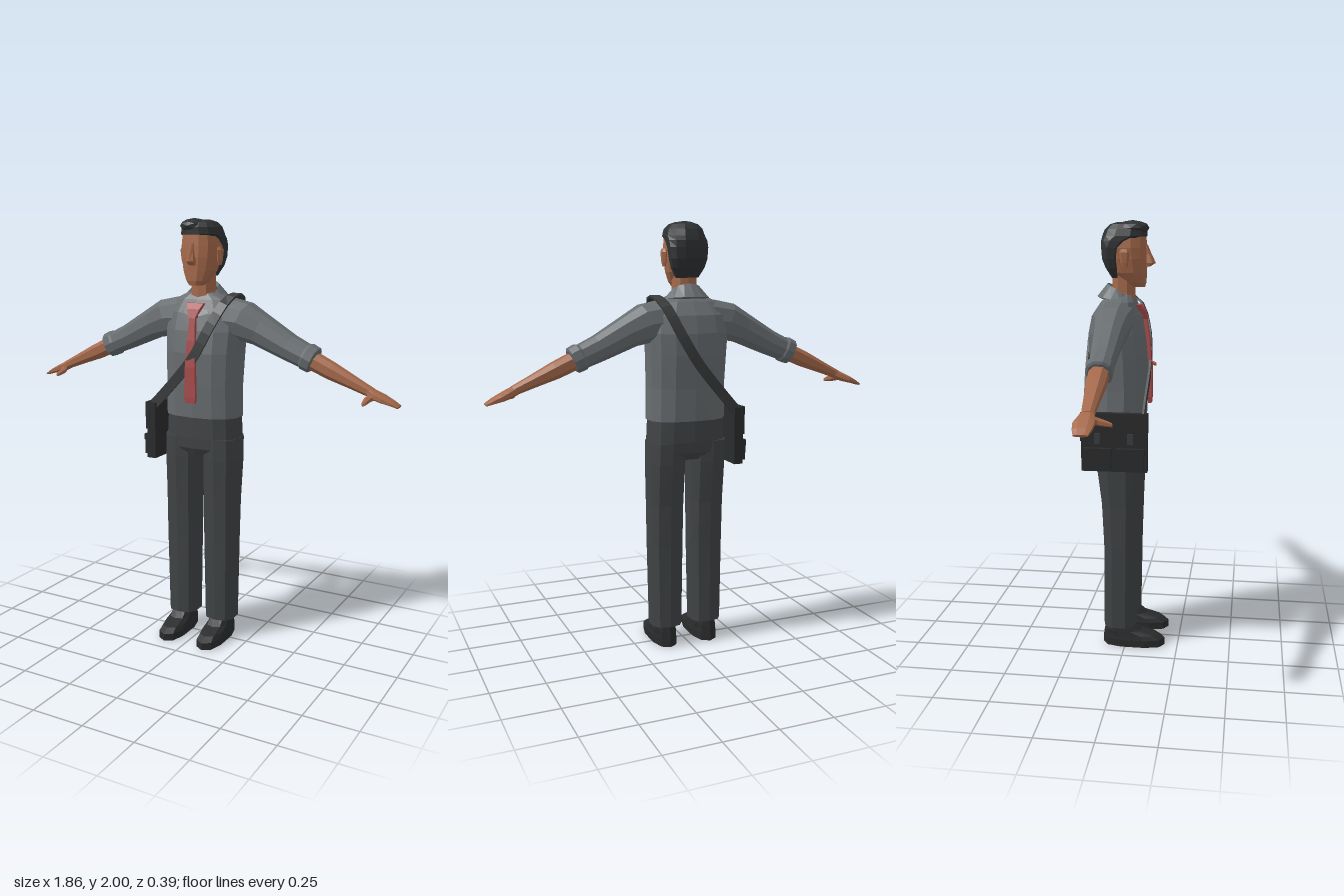
import * as THREE from 'three';

const V = (x, y, z) => new THREE.Vector3(x, y, z);
const mat = (color) => new THREE.MeshStandardMaterial({ color, flatShading: true, roughness: 0.9 });

// Rounded cross-section spanned by the half-axes u and v; e < 1 makes it boxier
function ring(c, u, v, n = 12, e = 0.8) {
  const soft = (t) => Math.sign(t) * Math.abs(t) ** e;
  return Array.from({ length: n }, (_, i) => {
    const a = ((i + 0.5) / n) * Math.PI * 2;
    return c.clone().addScaledVector(u, soft(Math.cos(a))).addScaledVector(v, soft(Math.sin(a)));
  });
}

// Horizontal section from its half width and its front and back depth
const level = (x, y, rx, zf, zb, n, e) =>
  ring(V(x, y, (zf + zb) / 2), V(rx, 0, 0), V(0, 0, (zf - zb) / 2), n, e);

// Closed faceted skin through the sections, turned so its faces look outwards
function loft(rings) {
  const tris = [], n = rings[0].length;
  for (let r = 0; r + 1 < rings.length; r++)
    for (let i = 0; i < n; i++) {
      const j = (i + 1) % n, a = rings[r], b = rings[r + 1];
      tris.push([a[i], b[i], b[j]], [a[i], b[j], a[j]]);
    }
  const cap = (pts, flip) => {
    const mid = pts.reduce((s, p) => s.add(p), V(0, 0, 0)).divideScalar(n);
    pts.forEach((p, i) => {
      const q = pts[(i + 1) % n];
      tris.push(flip ? [mid, q, p] : [mid, p, q]);
    });
  };
  cap(rings[0], false);
  cap(rings[rings.length - 1], true);
  const o = rings[0][0], d = (p) => p.clone().sub(o);
  const volume = tris.reduce((s, [a, b, c]) => s + d(a).dot(d(b).cross(d(c))), 0);
  const pts = tris.flatMap(([a, b, c]) => (volume < 0 ? [a, c, b] : [a, b, c]));
  const g = new THREE.BufferGeometry().setFromPoints(pts);
  g.computeVertexNormals();
  return g;
}

export function createModel() {
  const model = new THREE.Group();
  model.name = 'man';
  const shirt = mat(0x686d70), trouser = mat(0x404345), dark = mat(0x2a2b2c);
  const skin = mat(0xa5694b), hairMat = mat(0x2f3233), red = mat(0xa84c4c), strapMat = mat(0x3a3c3d);
  const add = (name, geometry, material) => {
    const m = new THREE.Mesh(geometry, material);
    m.name = name;
    model.add(m);
    return m;
  };
  const stack = (name, rows, material, x = 0, n = 12, e = 0.8) =>
    add(name, loft(rows.map(([y, rx, zf, zb]) => level(x, y, rx, zf, zb, n, e))), material);
  const box = (name, x, y, z, w, h, d, material) =>
    add(name, new THREE.BoxGeometry(w, h, d).translate(x, y, z), material);

  // Shirt body: y, half width, front, back
  stack('shirtBody', [
    [1.10, 0.187, 0.085, -0.158], [1.25, 0.185, 0.092, -0.165], [1.40, 0.19, 0.092, -0.18],
    [1.50, 0.195, 0.078, -0.182], [1.58, 0.185, 0.058, -0.165], [1.64, 0.14, 0.035, -0.125],
    [1.67, 0.075, 0.02, -0.095],
  ], shirt, 0, 14);

  // Trousers
  stack('hips', [
    [1.115, 0.18, 0.075, -0.15], [1.0, 0.186, 0.076, -0.152], [0.95, 0.184, 0.074, -0.146],
    [0.915, 0.12, 0.055, -0.12],
  ], trouser, 0, 14, 0.75);
  for (const s of [1, -1]) {
    const side = s > 0 ? 'left' : 'right';
    stack(side + 'TrouserLeg', [
      [1.0, 0.086, 0.07, -0.146], [0.9, 0.088, 0.07, -0.14], [0.7, 0.084, 0.062, -0.115],
      [0.5, 0.082, 0.056, -0.105], [0.1, 0.075, 0.05, -0.105],
    ].map((r, i) => [...r, [0.098, 0.097, 0.1, 0.102, 0.104][i]])
      .map(([y, rx, zf, zb]) => [y, rx, zf, zb]), trouser, s * 0.101, 10, 0.75);

    // Shoe
    stack(side + 'Shoe', [
      [0, 0.058, 0.188, -0.108], [0.035, 0.06, 0.188, -0.108], [0.055, 0.056, 0.155, -0.106],
      [0.075, 0.053, 0.08, -0.102], [0.12, 0.045, 0.02, -0.09],
    ], dark, s * 0.104, 10, 0.8);

    // Sections across the arm: x, y, half height, half depth, z
    const arm = (name, rows, material, n = 8) => add(side + name, loft(rows.map(([x, y, h, d, z = -0.05]) =>
      ring(V(s * x, y, z), V(s * h * 0.42, h * 0.91, 0), V(0, 0, d), n, 0.85))), material);
    arm('Sleeve', [
      [0.08, 1.555, 0.105, 0.095], [0.19, 1.545, 0.092, 0.085], [0.28, 1.51, 0.074, 0.07],
      [0.42, 1.44, 0.06, 0.058], [0.52, 1.397, 0.054, 0.052],
    ], shirt, 10);
    arm('Cuff', [
      [0.495, 1.41, 0.055, 0.053], [0.505, 1.405, 0.062, 0.059],
      [0.54, 1.389, 0.06, 0.057], [0.545, 1.386, 0.05, 0.048],
    ], shirt, 10);
    arm('Forearm', [
      [0.52, 1.395, 0.042, 0.044], [0.62, 1.35, 0.039, 0.042],
      [0.72, 1.307, 0.029, 0.033], [0.81, 1.268, 0.021, 0.026],
    ], skin);
    arm('Hand', [
      [0.79, 1.275, 0.021, 0.026], [0.83, 1.257, 0.021, 0.038, -0.052], [0.86, 1.245, 0.018, 0.045, -0.056],
      [0.90, 1.23, 0.012, 0.04, -0.056], [0.93, 1.216, 0.006, 0.03, -0.056],
    ], skin);
    add(side + 'Thumb', loft([[0.82, 1.256, -0.04, 0.02], [0.805, 1.245, -0.01, 0.016],
      [0.803, 1.238, 0.02, 0.013], [0.803, 1.232, 0.045, 0.008]].map(([x, y, z, r]) =>
      ring(V(s * x, y, z), V(r, 0, 0), V(0, r, 0), 6, 1))), skin);

    // Ear
    add(side + 'Ear', loft([[1.795, 0.006, 0.012], [1.815, 0.01, 0.018], [1.86, 0.014, 0.024], [1.875, 0.008, 0.016]]
      .map(([y, w, d]) => ring(V(s * 0.092, y, -0.008), V(w, 0, 0), V(0, 0, d), 6))), skin);
  }

  // Neck, head and nose
  stack('neck', [[1.6, 0.062, 0.03, -0.085], [1.68, 0.055, 0.03, -0.075], [1.78, 0.055, 0.03, -0.075]], skin, 0, 10);
  stack('head', [
    [1.705, 0.032, 0.074, 0.01], [1.725, 0.052, 0.08, -0.03], [1.77, 0.074, 0.082, -0.075],
    [1.83, 0.086, 0.084, -0.1], [1.88, 0.089, 0.082, -0.11], [1.94, 0.082, 0.078, -0.1],
    [1.97, 0.06, 0.05, -0.08],
  ], skin, 0, 12);
  stack('nose', [
    [1.892, 0.008, 0.086, 0.06], [1.85, 0.011, 0.104, 0.06],
    [1.812, 0.021, 0.123, 0.06], [1.795, 0.017, 0.096, 0.06],
  ], skin, 0, 6, 1);

  // Hair: low at the nape, stepping forward over the brow
  stack('hair', [
    [1.745, 0.055, -0.035, -0.076], [1.79, 0.08, -0.03, -0.104], [1.83, 0.09, -0.025, -0.12],
    [1.88, 0.095, -0.01, -0.124], [1.91, 0.095, 0.025, -0.124], [1.93, 0.094, 0.084, -0.12],
    [1.96, 0.085, 0.084, -0.108], [1.982, 0.065, 0.06, -0.085], [1.992, 0.035, 0.03, -0.05],
  ], hairMat, 0, 12);
  add('quiff', new THREE.IcosahedronGeometry(1, 1).scale(0.062, 0.034, 0.075).translate(-0.022, 1.966, 0.02), hairMat);

  // Folded collar, open at the front
  const collar = [], N = 14;
  for (let i = 0; i <= N; i++) {
    const a = 0.2 + (i / N) * (Math.PI * 2 - 0.4), c = Math.cos(a), sx = Math.sin(a), f = Math.max(c, 0), b = Math.max(-c, 0);
    const top = V(sx * 0.068, 1.69 - 0.07 * f + 0.03 * b, -0.03 + 0.068 * c);
    const low = V(sx * 0.112, 1.65 - 0.085 * f + 0.012 * b, -0.035 + 0.11 * c);
    const inner = top.clone().lerp(V(0, 1.6, -0.03), 0.14);
    const under = low.clone().lerp(V(0, 1.6, -0.03), 0.14);
    collar.push([top, low, under, inner]);
  }
  add('collar', loft(collar), shirt);

  // Tie: y, half width, front z
  const flat = (rows, t) => loft(rows.map(([y, w, z]) => [V(-w, y, z), V(w, y, z), V(w, y, z - t), V(-w, y, z - t)]));
  add('tieKnot', flat([[1.625, 0.042, 0.055], [1.6, 0.032, 0.077], [1.56, 0.016, 0.088]], 0.035), red);
  add('tieBlade', flat([[1.565, 0.014, 0.084], [1.46, 0.02, 0.1], [1.34, 0.025, 0.11],
    [1.2, 0.029, 0.11], [1.172, 0.024, 0.108]], 0.016), red);

  // Shoulder strap: a flat band over the left shoulder, ending at both bag ends
  const path = new THREE.CatmullRomCurve3([
    V(-0.21, 1.14, 0.088), V(-0.15, 1.2, 0.09), V(0.01, 1.38, 0.097), V(0.09, 1.53, 0.078), V(0.14, 1.63, 0.03),
    V(0.155, 1.66, -0.05), V(0.135, 1.62, -0.135), V(0.08, 1.5, -0.182), V(0, 1.37, -0.188),
    V(-0.1, 1.25, -0.18), V(-0.21, 1.13, -0.165),
  ]);
  add('shoulderStrap', loft(Array.from({ length: 29 }, (_, i) => {
    const p = path.getPointAt(i / 28), t = path.getTangentAt(i / 28);
    const a = Math.PI * THREE.MathUtils.clamp((0.08 - p.z) / 0.26, 0, 1);
    const across = t.clone().cross(V(0, Math.sin(a), Math.cos(a))).normalize();
    const out = across.clone().cross(t).normalize();
    return [[-1, 0], [1, 0], [1, 1], [-1, 1]].map(([w, h]) =>
      p.clone().addScaledVector(across, w * 0.023).addScaledVector(out, h * 0.01));
  })), strapMat);

  // Satchel with flap, pockets and buckles on its outer side
  box('bagBody', -0.207, 1.023, -0.037, 0.044, 0.266, 0.3, dark);
  box('bagFlap', -0.226, 1.095, -0.037, 0.018, 0.13, 0.306, dark);
  for (const z of [-0.112, 0.038]) {
    box('bagPocket', -0.233, 0.95, z, 0.03, 0.09, 0.125, dark);
    box('pocketFlap', -0.237, 0.987, z, 0.028, 0.028, 0.13, dark);
    box('bagBuckle', -0.238, 1.045, z, 0.012, 0.05, 0.026, strapMat);
  }
  return model;
}
